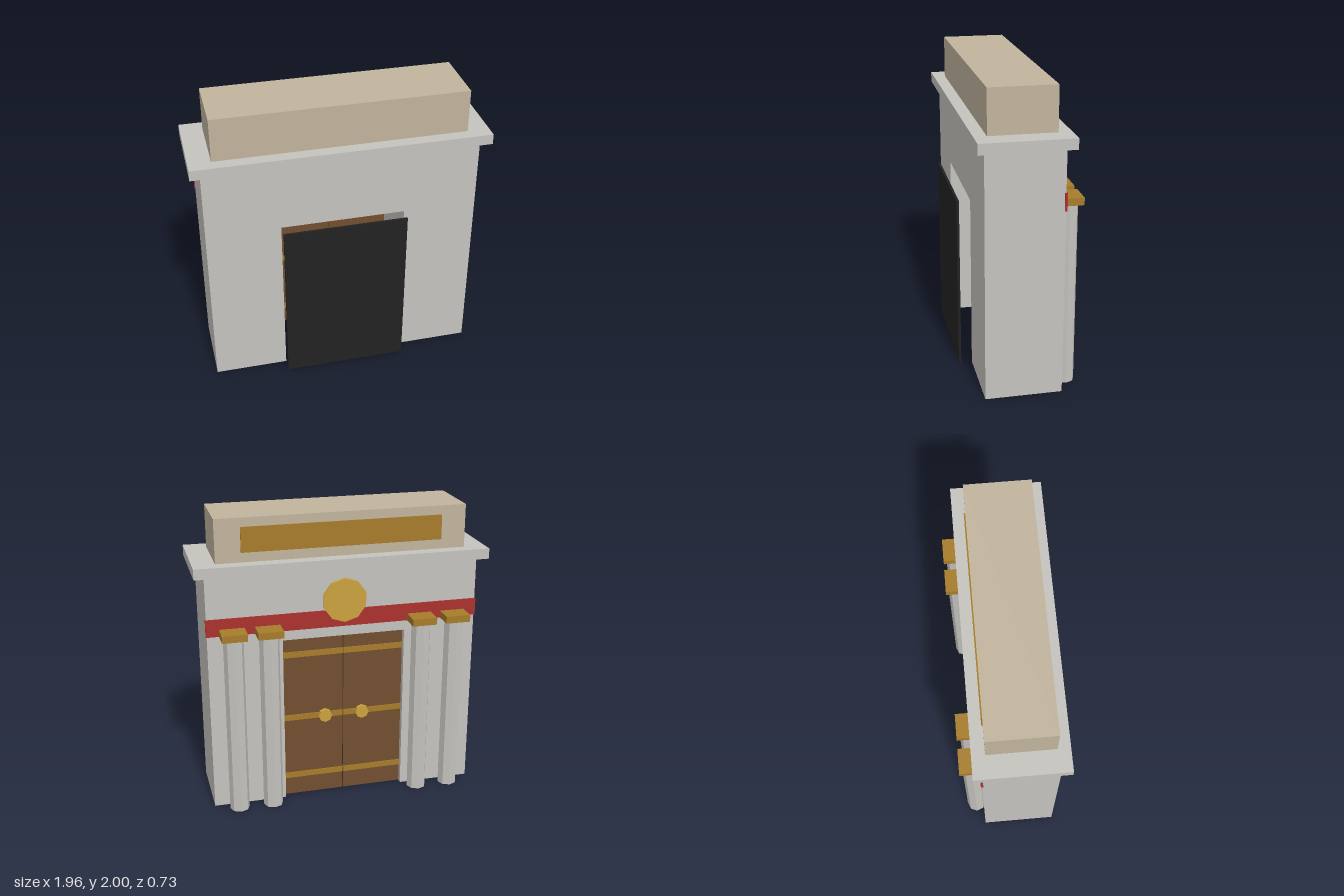
import * as THREE from 'three';

const mat = (name, color) => Object.assign(new THREE.MeshStandardMaterial({ color, flatShading: true }), { name });

export function createModel() {
  const stone = mat('grey stone', 0xc5c3be);
  const sandstone = mat('sandstone', 0xc1b49d);
  const bronze = mat('bronze', 0xa67c2b);
  const gold = mat('bright gold', 0xcaa23f);
  const wood = mat('door wood', 0x704e2f);
  const red = mat('red paint', 0xab302d);
  const black = mat('black', 0x222222);

  const model = new THREE.Group();
  model.name = 'gateway';

  const add = (name, geometry, material, x, y, z, parent = model) => {
    const mesh = new THREE.Mesh(geometry, material);
    mesh.name = name;
    mesh.position.set(x, y, z);
    parent.add(mesh);
    return mesh;
  };
  // Box given by its centre x, its bottom and top, and its z range
  const box = (name, material, x, width, y0, y1, z0, z1, parent) =>
    add(name, new THREE.BoxGeometry(width, y1 - y0, z1 - z0), material, x, (y0 + y1) / 2, (z0 + z1) / 2, parent);
  // Upright disc whose axis runs along z, with a corner at the top
  const disc = (name, radius, depth, sides, x, y, z, parent) =>
    add(name, new THREE.CylinderGeometry(radius, radius, depth, sides).rotateX(-Math.PI / 2), gold, x, y, z, parent);

  // Wall with an open doorway cut up from the ground
  const W = 0.914, H = 1.64, OW = 0.417, OH = 1.17;
  const outline = [[-W, 0], [-OW, 0], [-OW, OH], [OW, OH], [OW, 0], [W, 0], [W, H], [-W, H]];
  const wallShape = new THREE.Shape(outline.map(([x, y]) => new THREE.Vector2(x, y)));
  add('wall', new THREE.ExtrudeGeometry(wallShape, { depth: 0.5, bevelEnabled: false }), stone, 0, 0, -0.225);

  // Cornice, attic block and its plaque
  box('cornice', stone, 0, 1.964, 1.64, 1.71, -0.275, 0.325);
  box('attic', sandstone, 0, 1.668, 1.71, 2, -0.19, 0.243);
  box('plaque', bronze, 0, 1.336, 1.775, 1.94, -0.199, -0.19);

  // Painted frieze and medallion
  box('frieze', red, 0, 1.84, 1.238, 1.355, -0.233, -0.217);
  disc('medallion', 0.15, 0.034, 10, 0, 1.42, -0.23);

  // Paired columns with square capitals
  for (const x of [-0.751, -0.517, 0.517, 0.751]) {
    const column = new THREE.Group();
    column.name = 'column';
    column.position.set(x, 0, -0.28);
    model.add(column);
    add('shaft', new THREE.CylinderGeometry(0.067, 0.067, 1.24, 8), stone, 0, 0.62, 0, column);
    box('capital', bronze, 0, 0.167, 1.238, 1.286, -0.084, 0.084, column);
  }

  // Two door leaves with metal straps and a knob each
  for (const side of [-1, 1]) {
    const door = new THREE.Group();
    door.name = side > 0 ? 'leftDoor' : 'rightDoor';
    model.add(door);
    box('leaf', wood, side * 0.2095, 0.413, 0.002, 1.169, -0.19, -0.17, door);
    for (const y of [0.15, 0.59, 1.05]) {
      box('strap', bronze, side * 0.2095, 0.413, y - 0.02, y + 0.02, -0.197, -0.163, door);
    }
    disc('knob', 0.046, 0.03, 8, side * 0.13, 0.59, -0.208, door);
  }

  // Dark screen standing free before the doorway
  box('screen', black, 0, 0.834, 0, 1.17, 0.348, 0.364);

  return model;
}
